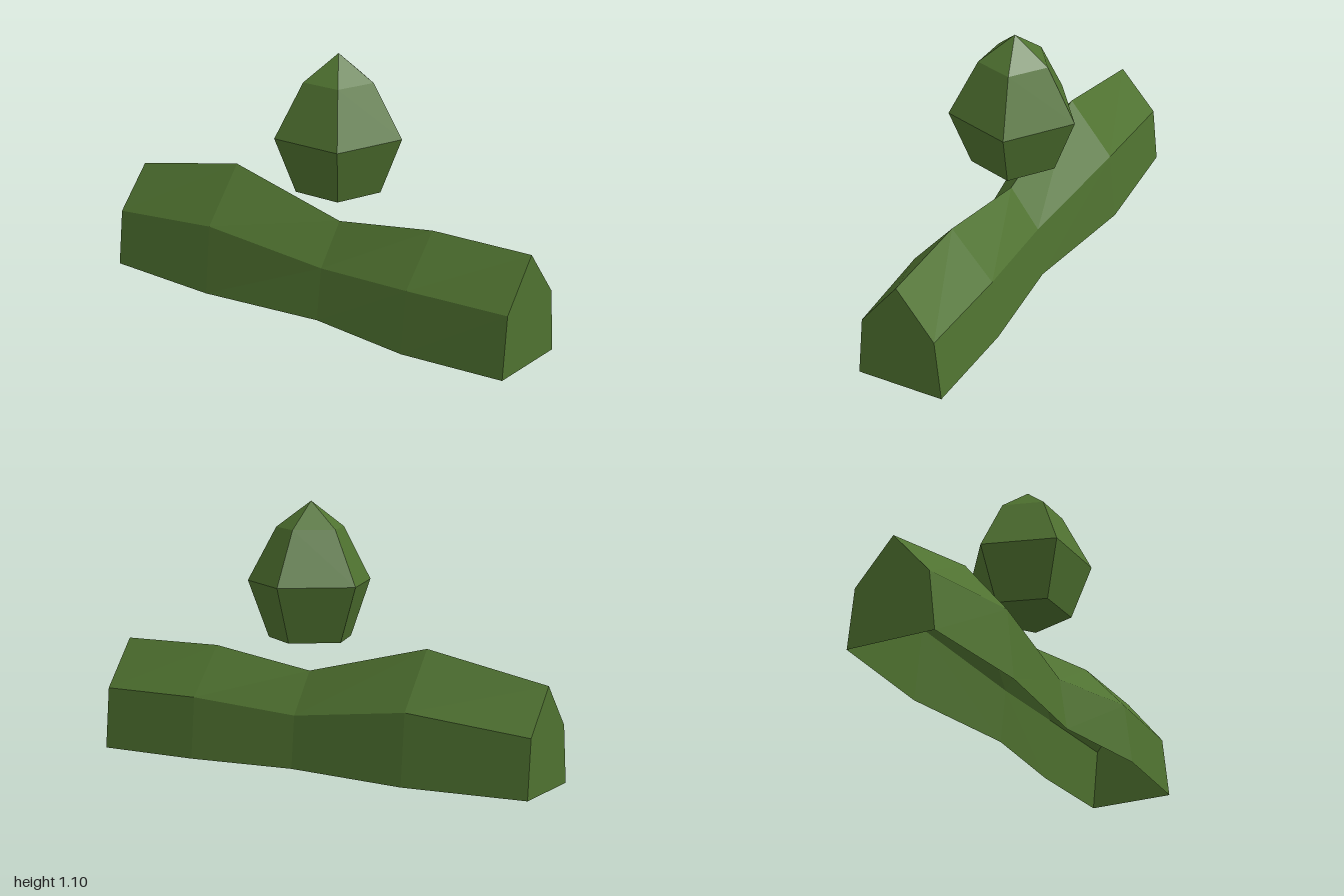
import * as THREE from 'three';

// Hedge stations along x: [x, ridgeY, ridgeZ, shoulderY, shoulderFrontZ, shoulderBackZ, baseFrontZ, baseBackZ]
const STATIONS = [
  [-1.0, 0.42, 0.03, 0.24, 0.188, -0.13, 0.215, -0.155],
  [-0.47, 0.525, 0.027, 0.295, 0.215, -0.163, 0.245, -0.193],
  [0.08, 0.39, 0.03, 0.22, 0.155, -0.095, 0.185, -0.118],
  [0.55, 0.46, 0.043, 0.26, 0.22, -0.135, 0.25, -0.16],
  [1.0, 0.46, 0.03, 0.26, 0.19, -0.13, 0.215, -0.155],
];

// Five-point gabled cross-section, from front base over the ridge to back base
function section([x, ridgeY, ridgeZ, shoulderY, sf, sb, bf, bb]) {
  return [
    [x, 0, bf], [x, shoulderY, sf], [x, ridgeY, ridgeZ], [x, shoulderY, sb], [x, 0, bb],
  ];
}

// Skin the cross-sections, cap both ends and leave the underside open
function hedgeGeometry() {
  const rings = STATIONS.map(section);
  const positions = rings.flat(2);
  const n = 5;
  const index = [];
  for (let i = 0; i < rings.length - 1; i++) {
    for (let j = 0; j < n - 1; j++) {
      const a = i * n + j;
      const b = a + n;
      index.push(a, b, b + 1, a, b + 1, a + 1);
    }
  }
  const last = (rings.length - 1) * n;
  for (let j = 1; j < n - 1; j++) {
    index.push(0, j, j + 1);
    index.push(last, last + j + 1, last + j);
  }
  const geometry = new THREE.BufferGeometry();
  geometry.setAttribute('position', new THREE.Float32BufferAttribute(positions, 3));
  geometry.setIndex(index);
  const flat = geometry.toNonIndexed();
  flat.computeVertexNormals();
  return flat;
}

// Five-sided bud with a closed base, one corner pointing backwards
function bushGeometry() {
  const profile = [[0, 0.53], [0.181, 0.53], [0.27, 0.765], [0.148, 0.99], [0, 1.1]]
    .map(([r, y]) => new THREE.Vector2(r, y));
  const flat = new THREE.LatheGeometry(profile, 5, Math.PI).toNonIndexed();
  flat.computeVertexNormals();
  return flat;
}

export function createModel() {
  const leafGreen = new THREE.MeshStandardMaterial({ color: 0x4f7230 });
  leafGreen.name = 'leafGreen';
  leafGreen.flatShading = true;
  leafGreen.side = THREE.DoubleSide;

  const hedge = new THREE.Mesh(hedgeGeometry(), leafGreen);
  hedge.name = 'hedge';

  const bush = new THREE.Mesh(bushGeometry(), leafGreen);
  bush.name = 'bush';
  bush.position.set(0.065, 0, 0.019);

  const model = new THREE.Group();
  model.name = 'hedgeAndBush';
  model.add(hedge, bush);
  return model;
}
